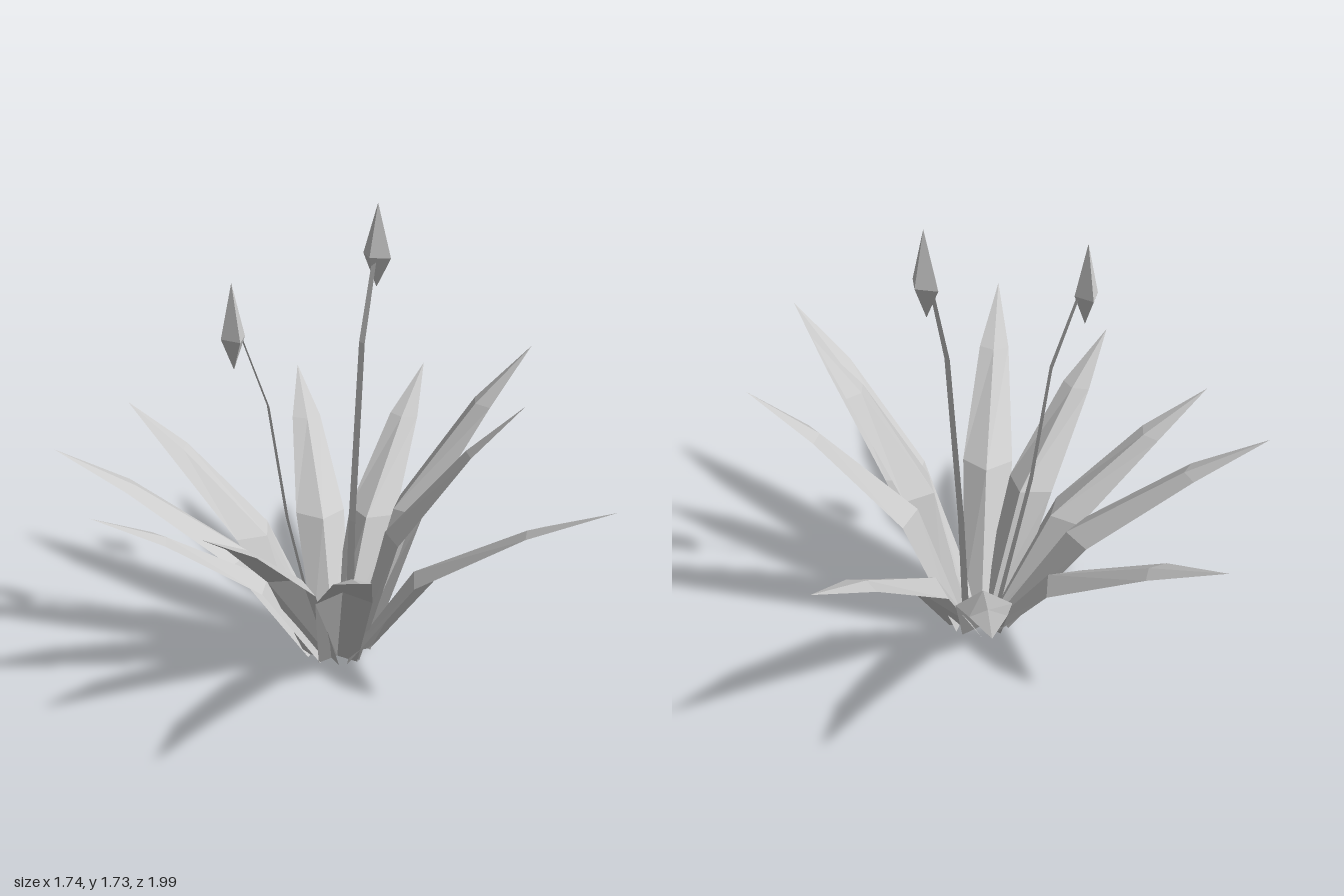
import * as THREE from 'three';

const material = new THREE.MeshStandardMaterial({ color: 0xcccccc, flatShading: true, side: THREE.DoubleSide });
const CENTER = new THREE.Vector3(0.085, 0, -0.035);

// Open strip surface through rows that all hold the same number of points
function loft(rows) {
  const n = rows[0].length;
  const index = [];
  for (let i = 0; i < rows.length - 1; i++) {
    for (let j = 0; j < n - 1; j++) {
      const a = i * n + j, b = a + 1, c = a + n, d = c + 1;
      index.push(a, b, c);
      if (!rows[i + 1][j].equals(rows[i + 1][j + 1])) index.push(b, d, c);
    }
  }
  const geometry = new THREE.BufferGeometry().setFromPoints(rows.flat());
  geometry.setIndex(index);
  const flat = geometry.toNonIndexed();
  flat.computeVertexNormals();
  return flat;
}

// Leaf rows: [outward fraction, height fraction, half width, inward pull of the midrib]
const LEAF_ROWS = [
  [0.11, 0, 0.075, 0.045],
  [0.39, 0.49, 0.1, 0.075],
  [0.75, 0.825, 0.06, 0.03],
  [1, 1, 0, 0],
];

function leafGeometry(tip) {
  const out = new THREE.Vector3(tip.x - CENTER.x, 0, tip.z - CENTER.z);
  const reach = out.length();
  out.normalize();
  const side = new THREE.Vector3(out.z, 0, -out.x);
  return loft(LEAF_ROWS.map(([r, h, halfWidth, rib], i) => [-1, 0, 1].map((s) => {
    const distance = (i === 0 ? 0.115 : r * reach) - (s === 0 ? rib : 0);
    const p = CENTER.clone().addScaledVector(out, distance).addScaledVector(side, s * halfWidth);
    p.y = h * tip.y;
    return p;
  })));
}

// Flat, tapering ribbon along a path; turn sets the direction of its width
function stalkGeometry(path, turn) {
  const side = new THREE.Vector3(Math.sin(turn), 0, Math.cos(turn));
  return loft(path.map(([x, y, z], i) => {
    const p = new THREE.Vector3(x, y, z);
    const w = 0.018 - 0.003 * i;
    return [-w, w].map((s) => p.clone().addScaledVector(side, s));
  }));
}

// Four-sided bud: short point below, long point above
function budGeometry() {
  const profile = [[0, -0.115], [1, 0], [0, 0.19]].map(([r, y]) => new THREE.Vector2(r, y));
  const geometry = new THREE.LatheGeometry(profile, 4);
  geometry.scale(0.044, 1, 0.063);
  return geometry;
}

export function createModel() {
  const model = new THREE.Group();
  model.name = 'floweringSucculent';
  const add = (name, geometry, parent = model) => {
    const mesh = new THREE.Mesh(geometry, material);
    mesh.name = name;
    parent.add(mesh);
    return mesh;
  };

  // Rosette of leaves, listed by tip position
  const leaves = new THREE.Group();
  leaves.name = 'leaves';
  model.add(leaves);
  [
    [-0.42, 0.80, -0.96], [0.38, 0.82, -1.0], [0.84, 0.86, -0.68], [0.87, 1.16, -0.0 + 0.04],
    [0.57, 1.11, 0.43], [0.53, 0.97, 0.99], [-0.35, 0.93, 0.95], [-0.64, 0.90, 0.46],
    [-0.87, 0.82, 0.02], [-0.86, 0.88, -0.45],
  ].forEach((tip, i) => add(`leaf${i + 1}`, leafGeometry(new THREE.Vector3(...tip)), leaves));

  // Two flower stalks, each with a bud
  [
    { path: [[0.02, 0, -0.04], [-0.12, 0.62, -0.04], [-0.19, 1.08, -0.035], [-0.29, 1.37, -0.04]],
      bud: [-0.313, 1.35, -0.037], ribbonTurn: 0, budTurn: 0 },
    { path: [[0.15, 0, -0.05], [0.17, 0.52, -0.075], [0.215, 1.23, -0.1], [0.27, 1.52, -0.12]],
      bud: [0.292, 1.535, -0.138], ribbonTurn: 0.55, budTurn: 0.4 },
  ].forEach(({ path, bud, ribbonTurn, budTurn }, i) => {
    add(`stalk${i + 1}`, stalkGeometry(path, ribbonTurn));
    const mesh = add(`bud${i + 1}`, budGeometry());
    mesh.position.set(...bud);
    mesh.rotation.y = budTurn;
  });

  return model;
}
